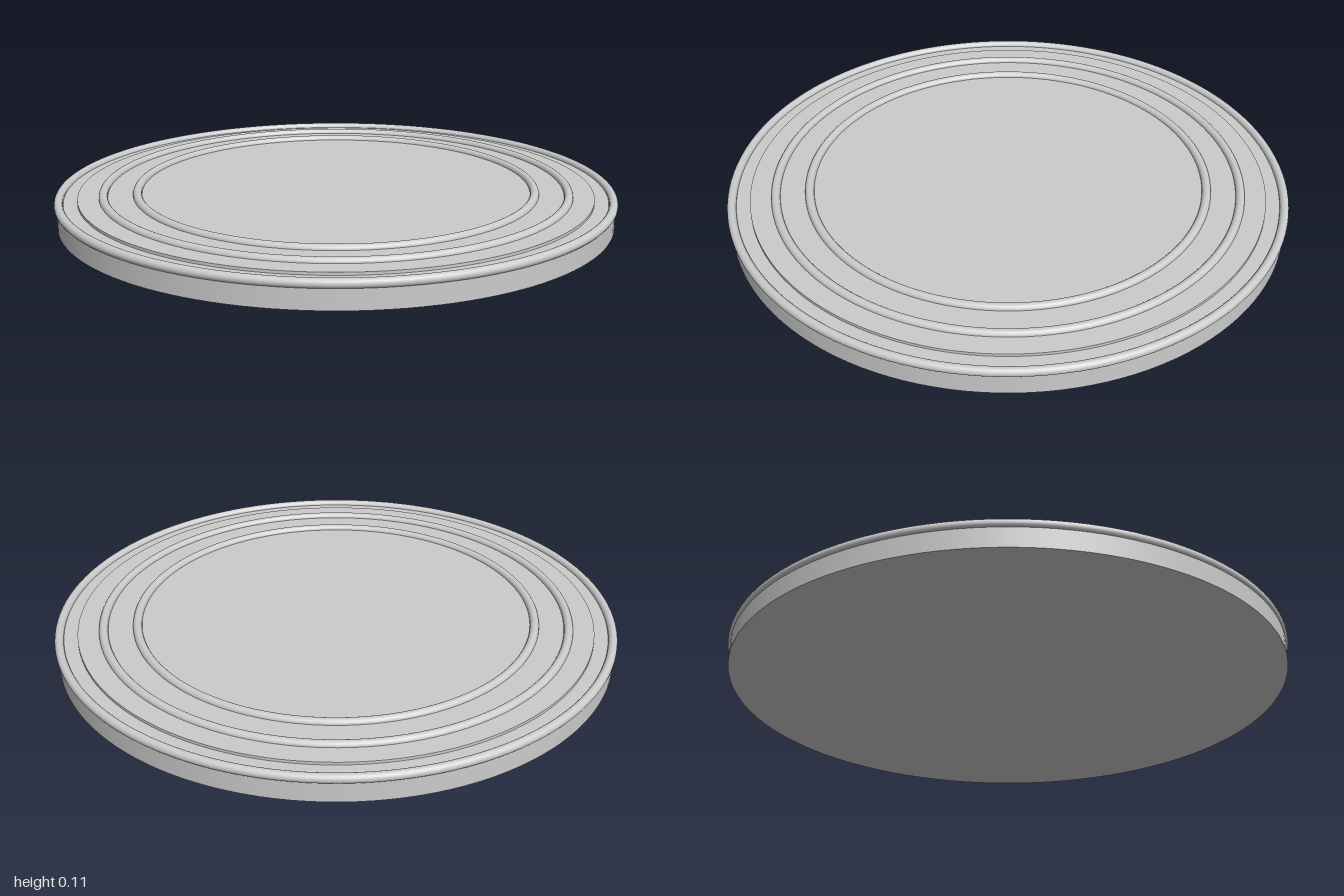
import * as THREE from 'three';

const SEGMENTS = 128;

export function createModel() {
  const group = new THREE.Group();
  const material = new THREE.MeshStandardMaterial({ color: 0xcccccc });

  function add(name, geometry, y) {
    const mesh = new THREE.Mesh(geometry, material);
    mesh.name = name;
    mesh.position.y = y;
    group.add(mesh);
  }

  // Flat round slab between two heights
  function disc(name, radius, bottom, top) {
    const geometry = new THREE.CylinderGeometry(radius, radius, top - bottom, SEGMENTS);
    add(name, geometry, (bottom + top) / 2);
  }

  // Rounded bead lying flat
  function ring(name, radius, tube, y) {
    add(name, new THREE.TorusGeometry(radius, tube, 20, SEGMENTS).rotateX(-Math.PI / 2), y);
  }

  // Base and the slightly raised plate on it
  disc('base', 0.992, 0, 0.082);
  disc('raisedPlate', 0.92, 0.07, 0.092);

  // Rim bead and the two decorative beads
  ring('rimBead', 0.984, 0.016, 0.082);
  ring('outerBead', 0.83, 0.016, 0.092);
  ring('innerBead', 0.711, 0.016, 0.092);

  return group;
}
